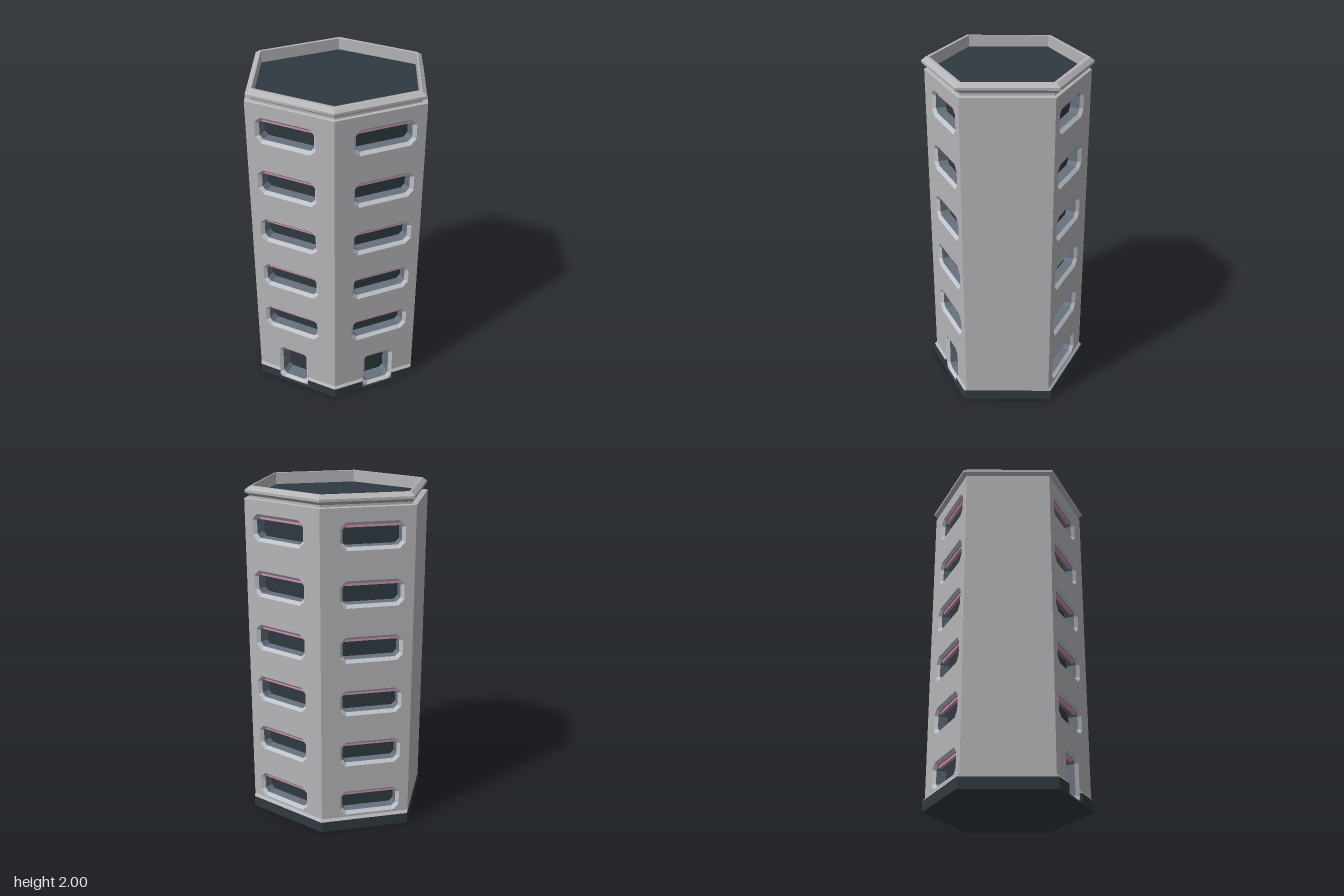
import * as THREE from 'three';

const mat = (name, color) => new THREE.MeshStandardMaterial({ name, color });

// Flat-sided skin through successive closed loops, with optional fan caps
function loft(loops, capStart = false, capEnd = false) {
  const pos = [];
  const tri = (a, b, c) => pos.push(...a, ...b, ...c);
  for (let k = 0; k + 1 < loops.length; k++) {
    const A = loops[k], B = loops[k + 1], n = A.length;
    for (let i = 0; i < n; i++) {
      const j = (i + 1) % n;
      tri(A[i], A[j], B[j]);
      tri(A[i], B[j], B[i]);
    }
  }
  const fan = (L, flip) => {
    for (let i = 1; i + 1 < L.length; i++) flip ? tri(L[0], L[i + 1], L[i]) : tri(L[0], L[i], L[i + 1]);
  };
  if (capStart) fan(loops[0], true);
  if (capEnd) fan(loops[loops.length - 1], false);
  const g = new THREE.BufferGeometry();
  g.setAttribute('position', new THREE.Float32BufferAttribute(pos, 3));
  g.computeVertexNormals();
  return g;
}

// Horizontal hexagon: front/back point at z = a, side corners at (bx, bz)
const hex = (a, bx, bz, y) => [
  [-bx, y, bz], [0, y, a], [bx, y, bz], [bx, y, -bz], [0, y, -a], [-bx, y, -bz],
];

// Rectangle with cut corners, counter-clockwise
function octagon(cx, cy, hw, hh, cut, z) {
  return [
    [-hw + cut, -hh], [hw - cut, -hh], [hw, -hh + cut], [hw, hh - cut],
    [hw - cut, hh], [-hw + cut, hh], [-hw, hh - cut], [-hw, -hh + cut],
  ].map(([x, y]) => [cx + x, cy + y, z]);
}
const toPoints = (loop) => loop.map(([x, y]) => new THREE.Vector2(x, y));

export function createModel() {
  const M = {
    wall: mat('concrete grey', 0xb6b6b9),
    frame: mat('pale frame grey', 0xbfc3c9),
    reveal: mat('slate blue', 0x66727f),
    dark: mat('dark slate', 0x2f3940),
    pink: mat('pink', 0xd58fb0),
  };
  const model = new THREE.Group();
  model.name = 'hexagonalTower';
  const add = (parent, name, geo, material) => {
    const m = new THREE.Mesh(geo, material);
    m.name = name;
    parent.add(m);
    return m;
  };

  const A = 0.466, BX = 0.48, BZ = 0.248, TOP = 1.93, BASE = 0.065, STEP = 0.014;
  const L = Math.hypot(BX, A - BZ), angle = Math.atan2(A - BZ, BX);
  const depthStep = STEP * Math.cos(angle), shear = STEP * Math.sin(angle);

  // Recessed opening: bevelled frame, side reveals, pane and pink strip
  function opening(parent, name, o, depth) {
    const g = new THREE.Group();
    g.name = name;
    parent.add(g);
    const inset = 0.018;
    const ring = (z) => octagon(o.x, o.y, o.hw - inset, o.hh - inset, 0.022, z);
    add(g, 'frame', loft([o.loop, ring(-0.018)]), M.frame);
    add(g, 'reveal', loft([ring(-0.018), ring(-depth)]), M.reveal);
    add(g, 'pane', new THREE.ShapeGeometry(new THREE.Shape(toPoints(ring(0)))), M.dark).position.z = -depth;
    const strip = add(g, 'pinkStrip', new THREE.BoxGeometry(2 * (o.hw - inset - 0.012), 0.014, 0.018), M.pink);
    strip.position.set(o.x, o.y + o.hh - inset - 0.007, -0.032);
  }

  // One slanted wall; mirrored walls measure from their other end
  function slantedWall(name, mirrored, hasDoor) {
    const g = new THREE.Group();
    g.name = name;
    g.position.set(mirrored ? -BX : 0, 0, mirrored ? BZ : A);
    g.rotation.y = mirrored ? -angle : angle;
    const along = (u) => (mirrored ? L - u : u);

    const list = [];
    for (let i = hasDoor ? 1 : 0; i < 6; i++) {
      list.push({ x: along(0.29), y: 0.171 + i * 0.321, hw: 0.181, hh: 0.077, cut: 0.034 });
    }
    const door = { x: along(0.289), y: 0.1375, hw: 0.1, hh: 0.1275, cut: 0.03, door: true };
    if (hasDoor) list.push(door);

    const shape = new THREE.Shape(toPoints([[0, 0], [L, 0], [L, TOP], [0, TOP]]));
    for (const o of list) {
      o.loop = octagon(o.x, o.y, o.hw, o.hh, o.cut, 0);
      shape.holes.push(new THREE.Path(toPoints(o.loop)));
      opening(g, o.door ? 'door' : 'window', o, o.door ? 0.1 : 0.075);
    }
    add(g, 'wallPanel', new THREE.ShapeGeometry(shape), M.wall);

    // Plinth pieces, mitred at the ends, with a sloping ledge above
    const slab = (label, u0, u1, y0, y1, material, sloped) => {
      const geo = new THREE.BoxGeometry(u1 - u0, y1 - y0, depthStep).toNonIndexed();
      geo.translate((u0 + u1) / 2, (y0 + y1) / 2, depthStep / 2);
      const p = geo.attributes.position;
      for (let i = 0; i < p.count; i++) {
        if (p.getZ(i) < depthStep / 2) continue;
        if (sloped && p.getY(i) > (y0 + y1) / 2) p.setZ(i, 0.0005);
        else p.setX(i, p.getX(i) + (mirrored ? shear : -shear));
      }
      geo.computeVertexNormals();
      add(g, label, geo, material);
    };
    const spans = hasDoor ? [[0, door.x - door.hw], [door.x + door.hw, L]] : [[0, L]];
    for (const [u0, u1] of spans) {
      slab('plinth', u0, u1, 0, BASE, M.dark, false);
      slab('plinthLedge', u0, u1, BASE, 0.08, M.wall, true);
    }
    if (hasDoor) slab('doorStep', spans[0][1], spans[1][0], 0, 0.01, M.dark, false);
    return g;
  }

  // Front walls carry doors, back walls have a sixth window
  for (const back of [false, true]) {
    const half = new THREE.Group();
    half.name = back ? 'backHalf' : 'frontHalf';
    half.rotation.y = back ? Math.PI : 0;
    half.add(slantedWall('leftWall', false, !back), slantedWall('rightWall', true, !back));

    // Blank side wall with its plinth
    const side = new THREE.Group();
    side.name = 'sideWall';
    side.rotation.y = Math.PI / 2;
    add(side, 'sidePanel', new THREE.PlaneGeometry(2 * BZ, TOP - BASE), M.wall).position.set(0, (TOP + BASE) / 2, BX);
    add(side, 'sidePlinth', new THREE.PlaneGeometry(2 * (BZ + STEP), BASE), M.dark).position.set(0, BASE / 2, BX);
    half.add(side);
    model.add(half);
  }

  // Cornice and parapet
  add(model, 'cornice', loft([
    hex(A, BX, BZ, TOP),
    hex(0.45, 0.45, 0.243, 1.934),
    hex(0.45, 0.45, 0.243, 1.946),
    hex(0.48, 0.47, 0.268, 1.966),
    hex(0.48, 0.47, 0.268, 1.98),
    hex(0.456, 0.446, 0.25, 2.0),
    hex(0.434, 0.437, 0.236, 2.0),
    hex(0.434, 0.437, 0.236, 1.93),
  ]), M.wall);

  // Roof deck and underside
  add(model, 'roofDeck', loft([hex(0.434, 0.437, 0.236, 1.932)], false, true), M.dark);
  add(model, 'underside', loft([hex(A + STEP, BX, BZ + STEP, 0)], true, false), M.dark);
  return model;
}
